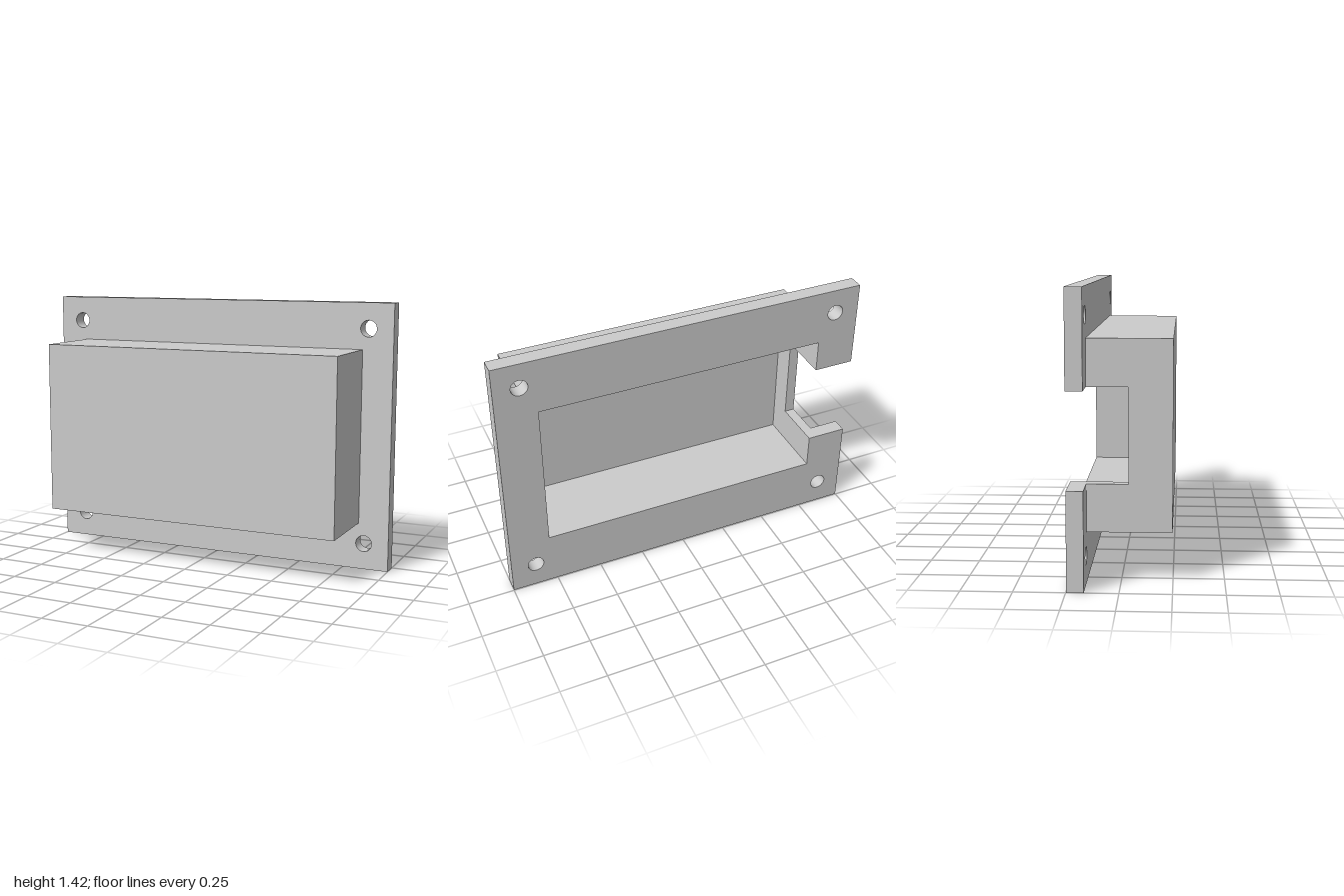
import * as THREE from 'three';
import { mergeGeometries } from 'three/addons/utils/BufferGeometryUtils.js';

// Plate, housing and cavity extents
const H = 1.425;
const outer = { x: 0.835, y0: 0.25, y1: 1.18 };
const inner = { x: 0.78, y0: 0.30, y1: 1.125 };
const notch = { y0: 0.485, y1: 0.95 };
// Depth levels: plate back, plate front, notch end, cavity floor, housing front
const Z = { back: -0.247, plate: -0.165, notch: 0.037, floor: 0.165, front: 0.247 };
const hole = { r: 0.044, x: 0.865, ys: [0.14, 1.29] };
const holeCentres = [-1, 1].flatMap(s => hole.ys.map(y => [s * hole.x, y]));

// Flat face at depth z, facing +z or -z
function cap(points, z, facing, holes = []) {
  const shape = new THREE.Shape(points.map(p => new THREE.Vector2(...p)));
  for (const [x, y] of holes) {
    shape.holes.push(new THREE.Path().absarc(x, y, hole.r, 0, Math.PI * 2, true));
  }
  const g = new THREE.ShapeGeometry(shape, 16).translate(0, 0, z);
  if (facing < 0) g.index.array.reverse();
  g.deleteAttribute('uv');
  const flat = g.toNonIndexed();
  flat.computeVertexNormals();
  return flat;
}

// Walls swept along z from an open path; they face to the right of the path
function walls(path, z0, z1) {
  const pos = [];
  for (let i = 0; i + 1 < path.length; i++) {
    const [a, b] = [path[i], path[i + 1]];
    pos.push(...a, z0, ...b, z0, ...b, z1, ...a, z0, ...b, z1, ...a, z1);
  }
  const g = new THREE.BufferGeometry();
  g.setAttribute('position', new THREE.Float32BufferAttribute(pos, 3));
  g.computeVertexNormals();
  return g;
}

const rect = ({ x, y0, y1 }) => [[-x, y0], [x, y0], [x, y1], [-x, y1]];

// Loop around a rectangle, interrupted at the side notch
const openLoop = r => [[-r.x, notch.y0], ...rect(r), [-r.x, notch.y1]];

export function createModel() {
  const group = new THREE.Group();
  const material = new THREE.MeshStandardMaterial({ color: 0xcccccc });
  const add = (name, parts) => {
    const mesh = new THREE.Mesh(mergeGeometries(parts), material);
    mesh.name = name;
    group.add(mesh);
  };

  // Mounting plate: C-shaped faces around the opening, notch on one side
  const rim = openLoop({ x: 1, y0: 0, y1: H });
  const cShape = r => [...rim, ...openLoop(r).reverse()];
  add('mountingPlate', [
    cap(cShape(inner), Z.back, -1, holeCentres),
    cap(cShape(outer), Z.plate, 1, holeCentres),
    walls([[-outer.x, notch.y0], ...rim, [-outer.x, notch.y1]], Z.back, Z.plate),
  ]);

  // Hollow housing, open at the back, its side wall cut by the notch
  const [ox, ix] = [-outer.x, -inner.x];
  add('housing', [
    cap(rect(outer), Z.front, 1),
    walls(openLoop(outer), Z.plate, Z.front),
    walls([[ox, notch.y1], [ox, notch.y0]], Z.notch, Z.front),
    cap(rect(inner), Z.floor, -1),
    walls(openLoop(inner).reverse(), Z.back, Z.floor),
    walls([[ix, notch.y0], [ix, notch.y1]], Z.notch, Z.floor),
  ]);

  // Cut faces of the notch through the housing wall
  add('cableNotch', [
    walls([[ix, notch.y0], [ox, notch.y0]], Z.back, Z.notch),
    walls([[ox, notch.y1], [ix, notch.y1]], Z.back, Z.notch),
    cap([[ox, notch.y0], [ix, notch.y0], [ix, notch.y1], [ox, notch.y1]], Z.notch, -1),
  ]);

  // Bores of the four screw holes
  const boreMaterial = new THREE.MeshStandardMaterial({ color: 0xcccccc, side: THREE.BackSide });
  const bore = new THREE.CylinderGeometry(hole.r, hole.r, Z.plate - Z.back, 32, 1, true).rotateX(Math.PI / 2);
  for (const [x, y] of holeCentres) {
    const mesh = new THREE.Mesh(bore, boreMaterial);
    mesh.name = 'screwHole';
    mesh.position.set(x, y, (Z.back + Z.plate) / 2);
    group.add(mesh);
  }
  return group;
}
